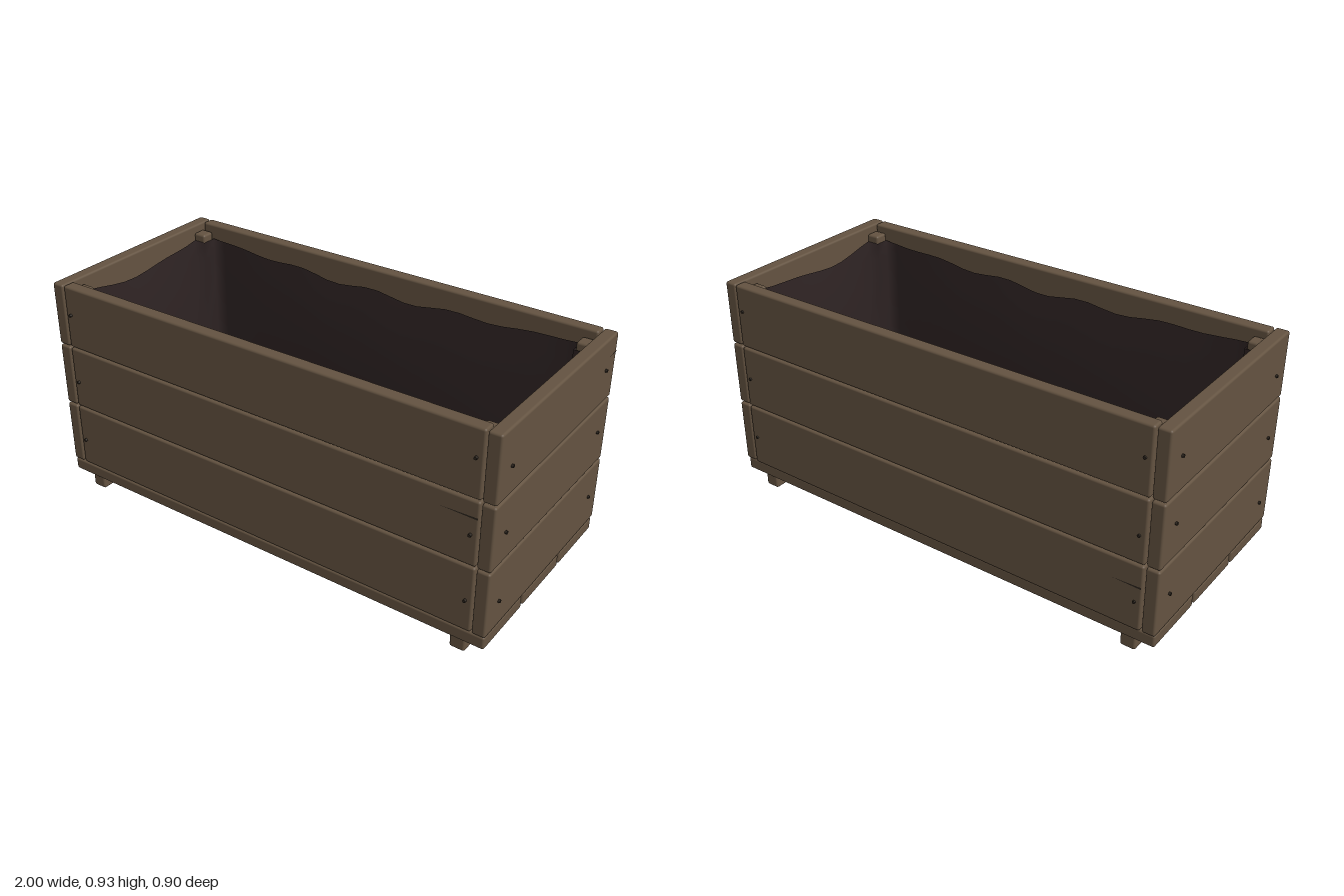
import * as THREE from 'three';
import { RoundedBoxGeometry } from 'three/addons/geometries/RoundedBoxGeometry.js';

export function createModel() {
  const group = new THREE.Group();
  const wood = new THREE.MeshStandardMaterial({ name: 'weathered wood', color: 0x645341 });
  const lining = new THREE.MeshStandardMaterial({ name: 'dark lining', color: 0x2f2424, side: THREE.DoubleSide });
  const iron = new THREE.MeshStandardMaterial({ name: 'dark iron', color: 0x2b241d });

  const add = (name, geometry, material, x = 0, y = 0, z = 0) => {
    const mesh = new THREE.Mesh(geometry, material);
    mesh.name = name;
    mesh.position.set(x, y, z);
    group.add(mesh);
    return mesh;
  };

  // Rounded board between two corners, optionally tapered a little along its length
  const board = (name, x0, x1, y0, y1, z0, z1, taper = 0, radius = 0.009) => {
    const w = x1 - x0, h = y1 - y0, d = z1 - z0;
    const geo = new RoundedBoxGeometry(w, h, d, 2, radius);
    const p = geo.attributes.position;
    const alongX = w > d;
    for (let i = 0; i < p.count; i++) {
      const t = alongX ? p.getX(i) / w : p.getZ(i) / d;
      p.setY(i, p.getY(i) + taper * t * (p.getY(i) / h));
    }
    return add(name, geo, wood, (x0 + x1) / 2, (y0 + y1) / 2, (z0 + z1) / 2);
  };

  // Three rows of wall planks
  const rows = [[0.117, 0.389], [0.395, 0.658], [0.664, 0.93]];
  rows.forEach(([y0, y1], i) => {
    const t = [0.004, -0.004, 0.003][i];
    board('frontPlank', -0.932, 0.932, y0, y1, 0.388, 0.442, t);
    board('backPlank', -0.932, 0.932, y0, y1, -0.446, -0.395, -t);
    board('leftPlank', 0.937, 0.99, y0, y1, -0.443, 0.443, t);
    board('rightPlank', -0.99, -0.937, y0, y1, -0.443, 0.443, -t);
  });

  // Floor slats and the two runners beneath
  for (const [z0, z1] of [[0.157, 0.44], [-0.14, 0.145], [-0.435, -0.151]])
    board('floorSlat', -0.988, 0.988, 0.062, 0.115, z0, z1, 0.002);
  for (const s of [-1, 1])
    board('runner', s * 0.877 - 0.031, s * 0.877 + 0.031, 0, 0.064, -0.42, 0.424);

  // Inner corner posts
  for (const sx of [-1, 1]) for (const sz of [-1, 1])
    board('cornerPost', sx * 0.906 - 0.029, sx * 0.906 + 0.029, 0.11, 0.9,
      sz * 0.36 - 0.029, sz * 0.36 + 0.029, 0, 0.01);

  // Nail heads near the plank ends
  const nail = new THREE.CylinderGeometry(0.006, 0.007, 0.022, 8);
  rows.forEach(([y0, y1], i) => {
    const yFront = [0.235, 0.51, 0.81][i], yEnd = [0.23, 0.52, 0.78][i];
    for (const a of [-1, 1]) for (const b of [-1, 1]) {
      const endNail = add('endNail', nail, iron, a * 0.987, yEnd + (b < 0 ? 0.025 : 0), b * 0.36);
      endNail.rotation.z = -a * Math.PI / 2;
      const faceNail = add('faceNail', nail, iron, b * 0.905, yFront + (b > 0 ? 0.012 : 0), a * 0.441);
      faceNail.rotation.x = a * Math.PI / 2;
    }
  });

  // Thin splits running in from plank ends
  const split = (length, x, y, z, turn) => {
    const shape = new THREE.Shape([[0, 0.004], [-length, 0], [0, -0.004]].map(q => new THREE.Vector2(...q)));
    add('split', new THREE.ShapeGeometry(shape), iron, x, y, z).rotation.y = turn;
  };
  split(0.15, 0.928, 0.592, 0.4435, 0);
  split(0.07, 0.9915, 0.853, -0.436, Math.PI / 2);
  split(0.12, -0.928, 0.3, -0.4475, Math.PI);

  // Lining outline, stepped around the corner posts
  const corners = [
    [-0.872, 0.382], [0.872, 0.382], [0.872, 0.326], [0.927, 0.326],
    [0.927, -0.326], [0.872, -0.326], [0.872, -0.388], [-0.872, -0.388],
    [-0.872, -0.326], [-0.927, -0.326], [-0.927, 0.326], [-0.872, 0.326]];
  const outline = [];
  corners.forEach(([x, z], i) => {
    const [x2, z2] = corners[(i + 1) % corners.length];
    const length = Math.hypot(x2 - x, z2 - z);
    const n = length > 0.3 ? Math.round(length * 16) : 1;
    for (let k = 0; k < n; k++) {
      const t = k / n;
      outline.push({
        x: x + (x2 - x) * t, z: z + (z2 - z) * t,
        sag: n > 1 ? Math.sin(Math.PI * t) : 0,
        nx: -(z2 - z) / length, nz: (x2 - x) / length });
    }
  });

  // Loose cloth walls with a wavy top and a bulge inward
  const levels = [0, 0.25, 0.5, 0.75, 0.9, 1], positions = [], index = [];
  const count = outline.length, floorY = 0.125;
  for (const v of levels) for (const o of outline) {
    const top = 0.87 - 0.025 * o.sag + 0.012 * o.sag * Math.sin(o.x * 17 + o.z * 11);
    const bulge = 0.03 * o.sag * Math.sin(Math.PI * v * 0.8);
    positions.push(o.x - o.nx * bulge, floorY + (top - floorY) * v, o.z - o.nz * bulge);
  }
  for (let r = 0; r < levels.length - 1; r++) for (let i = 0; i < count; i++) {
    const a = r * count + i, b = r * count + (i + 1) % count;
    index.push(a, a + count, b, b, a + count, b + count);
  }
  const walls = new THREE.BufferGeometry();
  walls.setAttribute('position', new THREE.Float32BufferAttribute(positions, 3));
  walls.setIndex(index);
  walls.computeVertexNormals();
  add('liningWalls', walls, lining);

  // Lining floor
  const floorShape = new THREE.Shape(corners.map(([x, z]) => new THREE.Vector2(x, -z)));
  add('liningFloor', new THREE.ShapeGeometry(floorShape).rotateX(-Math.PI / 2), lining, 0, floorY, 0);

  return group;
}
